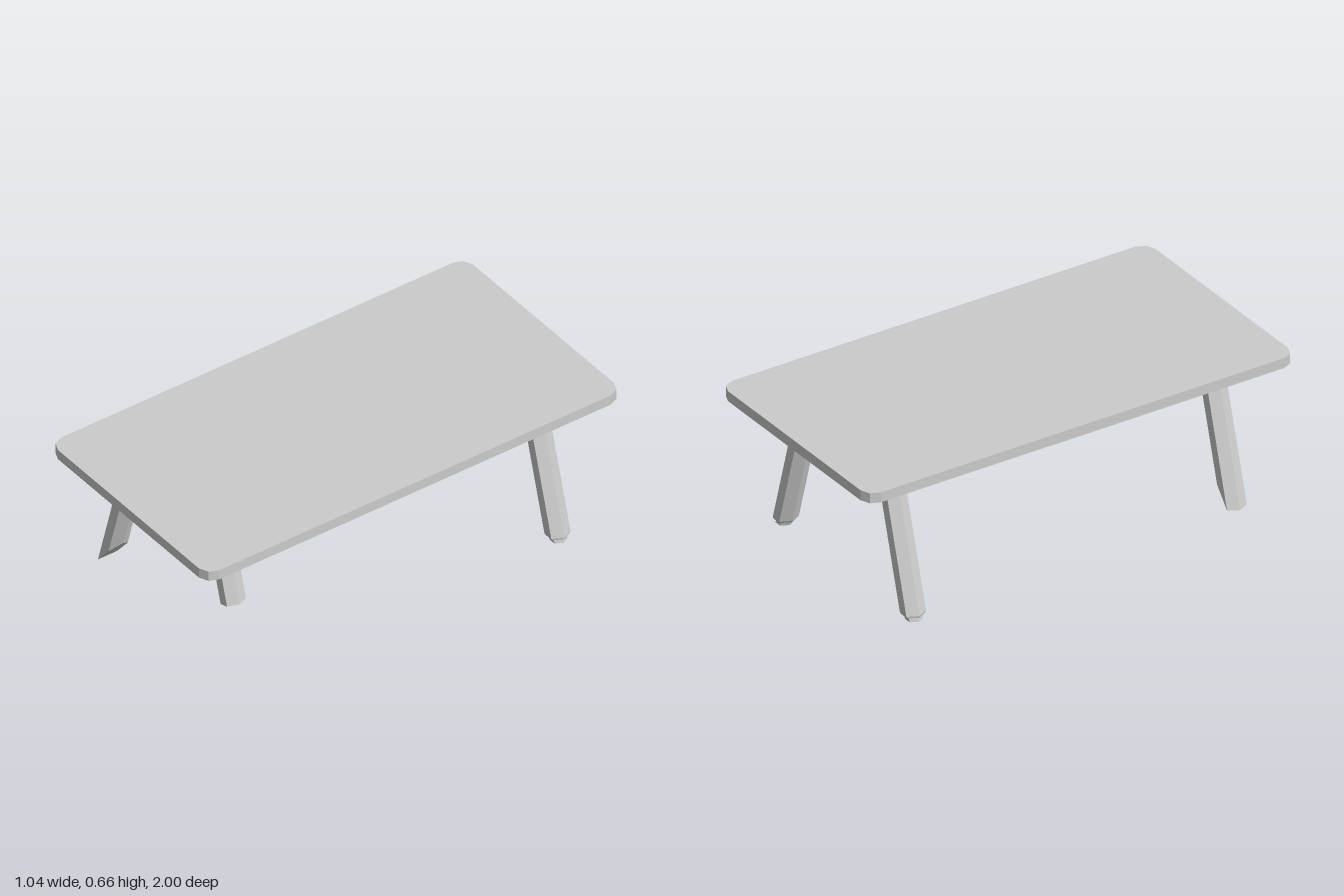
import * as THREE from 'three';

const material = new THREE.MeshStandardMaterial({ color: 0xcccccc, flatShading: true });

// The legs splay: each axis leans in by SLOPE per unit of height from its base distance
const SLOPE = 0.287;
const baseDistance = (side) => (side > 0 ? 0.449 : 0.458);

// One hexagonal ring; height is a number, or a cut { a, b } with y = a + b * outward distance
function hexRing(side, z, height, rx, rz) {
  const ring = [];
  for (let i = 0; i < 6; i++) {
    const angle = (i * Math.PI) / 3;
    const outward = baseDistance(side) + side * rx * Math.cos(angle);
    let y = height;
    if (typeof height === 'object') {
      const { a, b } = height;
      y = Math.max(0.025, (a + b * outward) / (1 + SLOPE * b));
    }
    ring.push([side * (outward - SLOPE * y), y, z + (rz * Math.sin(angle)) / Math.sin(Math.PI / 3)]);
  }
  return ring;
}

// Skin rings listed from bottom to top and close both ends
function loft(rings) {
  const points = [];
  const tri = (a, b, c) => points.push(...a, ...b, ...c);
  for (let r = 0; r < rings.length - 1; r++) {
    const lo = rings[r], hi = rings[r + 1];
    for (let i = 0; i < 6; i++) {
      const j = (i + 1) % 6;
      tri(lo[i], hi[i], hi[j]);
      tri(lo[i], hi[j], lo[j]);
    }
  }
  const bottom = rings[0], top = rings[rings.length - 1];
  for (const [a, b, c] of [[0, 1, 5], [1, 2, 5], [2, 4, 5], [2, 3, 4]]) {
    tri(bottom[a], bottom[b], bottom[c]);
    tri(top[a], top[c], top[b]);
  }
  const geometry = new THREE.BufferGeometry();
  geometry.setAttribute('position', new THREE.Float32BufferAttribute(points, 3));
  geometry.computeVertexNormals();
  return geometry;
}

function addMesh(group, name, geometry) {
  const mesh = new THREE.Mesh(geometry, material);
  mesh.name = name;
  group.add(mesh);
  return mesh;
}

// Rectangular board lying flat, each corner rounded in two facets
function tabletopGeometry(w, d, r, thickness) {
  const shape = new THREE.Shape();
  shape.absarc(w - r, d - r, r, 0, Math.PI / 2);
  shape.absarc(-w + r, d - r, r, Math.PI / 2, Math.PI);
  shape.absarc(-w + r, -d + r, r, Math.PI, Math.PI * 1.5);
  shape.absarc(w - r, -d + r, r, Math.PI * 1.5, Math.PI * 2);
  const geometry = new THREE.ExtrudeGeometry(shape, {
    depth: thickness, bevelEnabled: false, curveSegments: 1,
  });
  return geometry.rotateX(-Math.PI / 2);
}

export function createModel() {
  const table = new THREE.Group();
  table.name = 'brokenTable';

  // Top board and the slab under it
  addMesh(table, 'tabletop', tabletopGeometry(0.522, 1, 0.057, 0.045)).position.y = 0.615;
  addMesh(table, 'underSlab', new THREE.BoxGeometry(0.765, 0.03, 1.685)).position.y = 0.6;

  // Legs: the back pair is whole, the front pair has snapped off
  const legs = [
    { name: 'backLeftLeg', side: 1, z: -0.745 },
    { name: 'backRightLeg', side: -1, z: -0.745 },
    { name: 'frontLeftLeg', side: 1, z: 0.755, cut: { a: 0.221, b: 0.275 } },
    { name: 'frontRightLeg', side: -1, z: 0.755, cut: { a: 0.594, b: -1.2 } },
  ];
  for (const { name, side, z, cut } of legs) {
    const leg = new THREE.Group();
    leg.name = name;
    const top = hexRing(side, z, 0.595, 0.046, 0.046);
    if (cut) {
      addMesh(leg, 'brokenPost', loft([hexRing(side, z, cut, 0.046, 0.046), top]));
    } else {
      addMesh(leg, 'post', loft([
        hexRing(side, z, 0.02, 0.042, 0.042),
        hexRing(side, z, 0.028, 0.046, 0.046),
        top,
      ]));
      addMesh(leg, 'foot', loft([
        hexRing(side, z, 0, 0.033, 0.032),
        hexRing(side, z, 0.024, 0.033, 0.032),
      ]));
    }
    table.add(leg);
  }
  return table;
}
